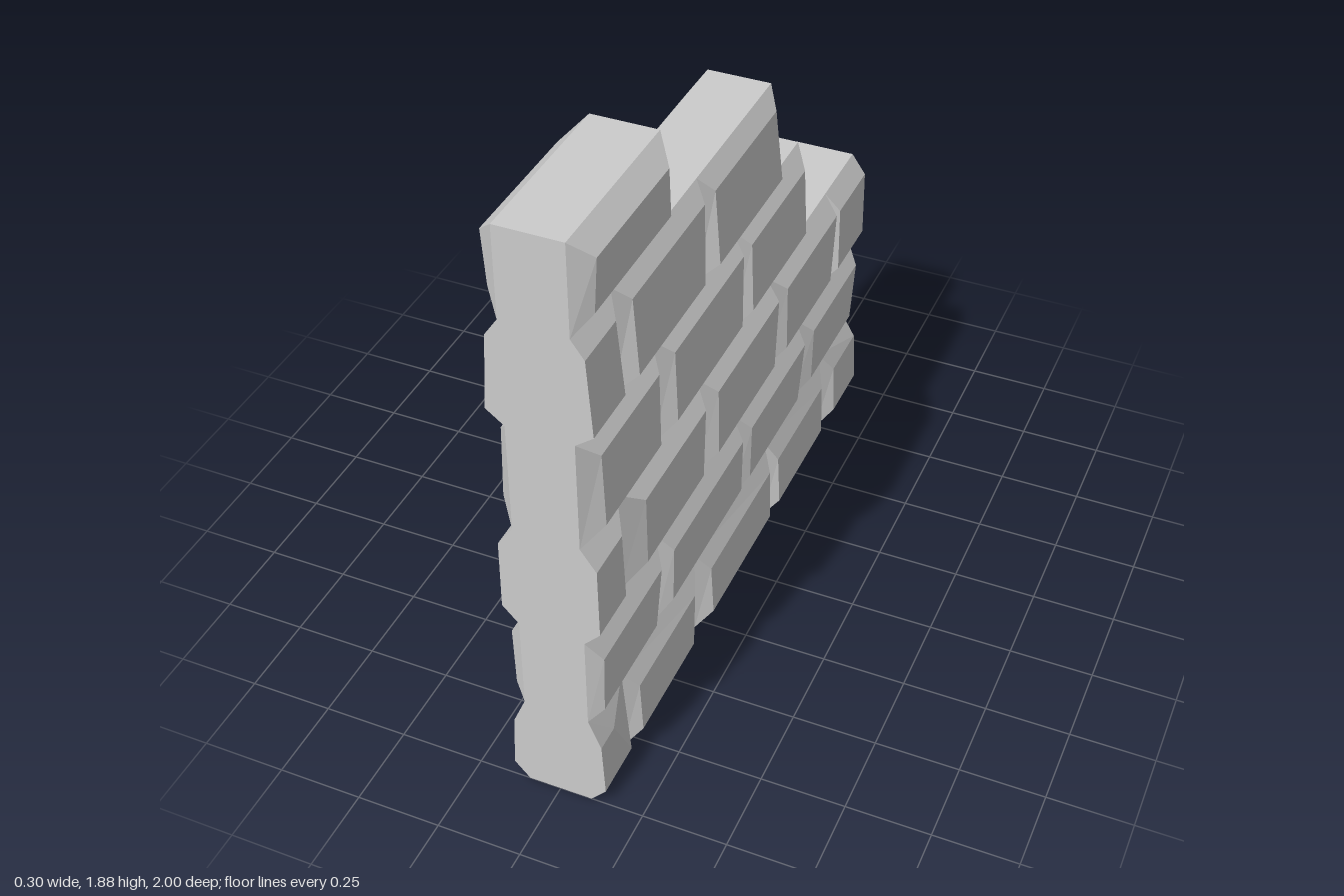
import * as THREE from 'three';

const CORE = 0.095; // half thickness of the wall at the joints

// Height of the bed joints between courses
const BEDS = [0, 0.3, 0.605, 0.94, 1.28, 1.603, 1.875];

// The lowest bed joint is slightly uneven along the wall
const UNEVEN_BED = [[1, 0.31], [0.79, 0.288], [0.28, 0.292], [-0.75, 0.306], [-1, 0.285]]
  .map(([z, y]) => new THREE.Vector2(z, y));

function bedHeight(i, z) {
  if (i !== 1) return BEDS[i];
  const k = Math.max(1, UNEVEN_BED.findIndex((p) => z >= p.x));
  const a = UNEVEN_BED[k - 1], b = UNEVEN_BED[k];
  return THREE.MathUtils.mapLinear(z, a.x, b.x, a.y, b.y);
}

// Loft through four-cornered loops running from -x to +x, closed at both ends
function loft(loops) {
  const index = [];
  const last = (loops.length - 1) * 4;
  for (let i = 0; i < last; i += 4) {
    for (let j = 0; j < 4; j++) {
      const k = (j + 1) % 4;
      index.push(i + j, i + 4 + j, i + 4 + k, i + j, i + 4 + k, i + k);
    }
  }
  index.push(0, 1, 2, 0, 2, 3, last + 3, last + 2, last + 1, last + 3, last + 1, last);
  const geometry = new THREE.BufferGeometry();
  geometry.setAttribute('position', new THREE.Float32BufferAttribute(loops.flat(2), 3));
  geometry.setIndex(index);
  const flat = geometry.toNonIndexed();
  flat.computeVertexNormals();
  return flat;
}

export function createModel() {
  const wall = new THREE.Group();
  wall.name = 'steppedBrickWall';
  const material = new THREE.MeshStandardMaterial({ color: 0xcccccc, flatShading: true });

  // One course of bricks between the given joints. Every brick runs through the
  // wall and has a raised face on both sides; its bevels are the widths at the
  // front end, at the back end on top and at the back end below.
  function addCourse(row, low, high, joints, bevels) {
    const course = new THREE.Group();
    course.name = `course${row + 1}`;
    bevels.forEach(([front, backTop, backLow], n) => {
      const za = joints[n], zb = joints[n + 1];
      const joint = (x) => [
        [x, bedHeight(row + 1, za), za], [x, bedHeight(row + 1, zb), zb],
        [x, bedHeight(row, zb), zb], [x, bedHeight(row, za), za]];
      const face = (side) => [
        [side * high.x, high.y, za - front], [side * high.x, high.y, zb + backTop],
        [side * low.x, low.y, zb + backLow], [side * low.x, low.y, za - front]];
      const brick = new THREE.Mesh(loft([face(-1), joint(-CORE), joint(CORE), face(1)]), material);
      brick.name = 'brick';
      course.add(brick);
    });
    wall.add(course);
  }

  const edge = (x, y) => new THREE.Vector2(x, y); // half thickness and height

  // Full courses
  addCourse(0, edge(0.14, 0.05), edge(0.132, 0.22), [1, 0.79, 0.28, -0.27, -0.75, -1],
    [[0, 0.13, 0.04], [0.04, 0.08, 0.11], [0.04, 0.04, 0.05], [0.03, 0.06, 0.07], [0.05, 0, 0]]);
  addCourse(1, edge(0.132, 0.345), edge(0.136, 0.535), [1, 0.55, -0.01, -0.52, -1],
    [[0.03, 0.05, 0.08], [0.035, 0.02, 0.02], [0.05, 0.02, 0.06], [0.06, 0.03, 0.06]]);
  addCourse(2, edge(0.142, 0.655), edge(0.14, 0.875), [1, 0.78, 0.26, -0.26, -0.75, -1],
    [[0, 0.07, 0.06], [0.08, 0.04, 0.06], [0.05, 0.01, 0.04], [0.06, 0.01, 0.05], [0.02, 0, 0]]);

  // Stepped courses
  addCourse(3, edge(0.145, 0.995), edge(0.138, 1.22), [1, 0.55, 0.01, -0.49],
    [[0.055, 0.05, 0.06], [0.05, 0.02, 0.04], [0.04, 0.05, 0.04]]);
  addCourse(4, edge(0.147, 1.32), edge(0.132, 1.55), [1, 0.78, 0.26, -0.26],
    [[0, 0.05, 0.04], [0.045, 0.03, 0.06], [0.04, 0.05, 0.03]]);
  addCourse(5, edge(0.14, 1.66), edge(0.15, 1.82), [1, 0.48], [[0.045, 0.07, 0.04]]);
  return wall;
}
